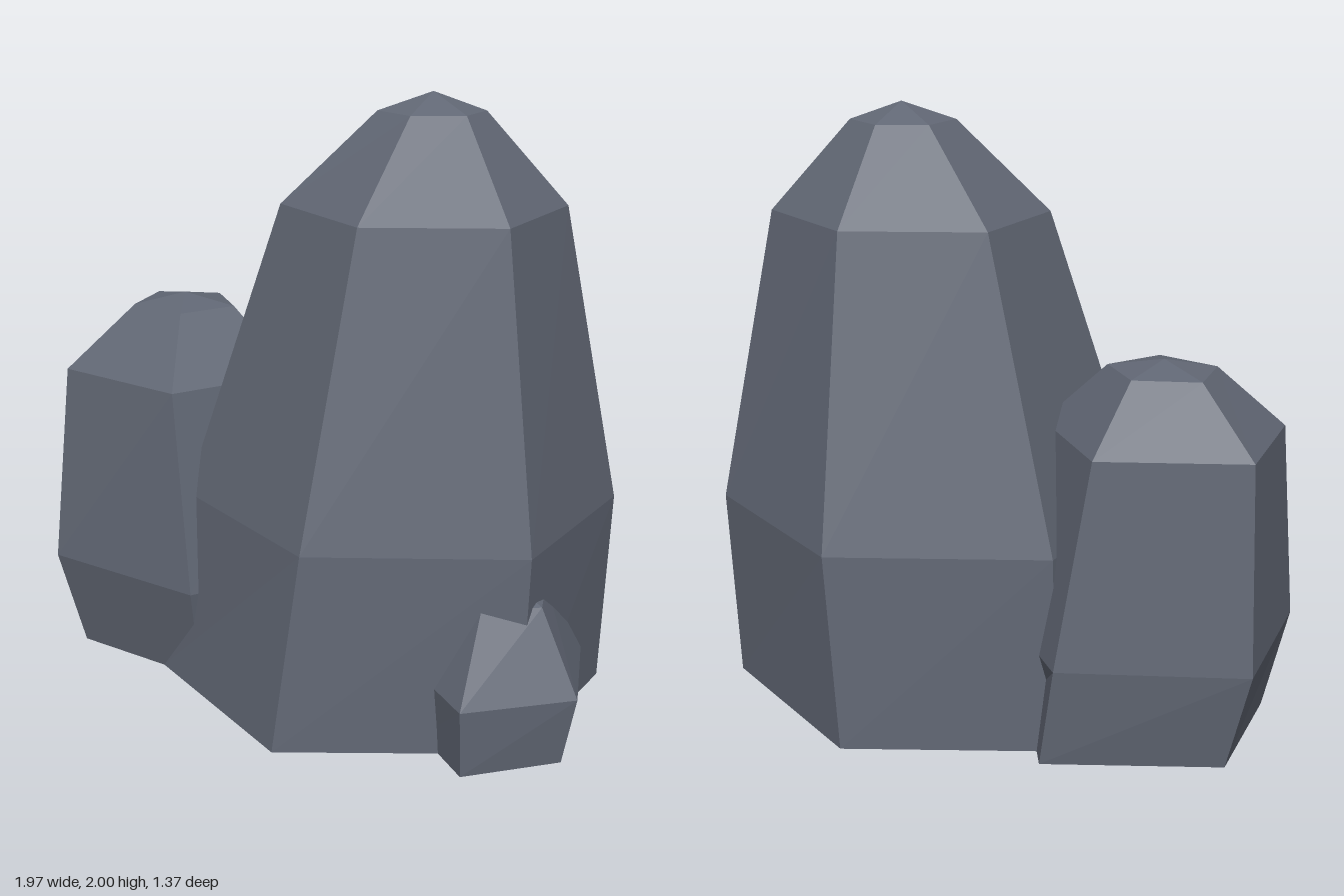
import * as THREE from 'three';

// The rocks are hollow shells with open undersides
const stone = new THREE.MeshStandardMaterial({ color: 0x616774, side: THREE.DoubleSide });
stone.name = 'slate grey';

// Faceted boulder shell: stacked rings (y plus x/z corners, front round to the right), closed by an apex
function boulder(name, rings, apex) {
  const pos = [];
  const tri = (a, b, c) => pos.push(...a, ...b, ...c);
  const loops = rings.map(([y, pts]) => pts.map(([x, z]) => [x, y, z]));
  const n = loops[0].length;
  const top = loops[loops.length - 1];
  for (let i = 0; i < n; i++) {
    const j = (i + 1) % n;
    for (let r = 0; r + 1 < loops.length; r++) {
      const lo = loops[r], hi = loops[r + 1];
      tri(lo[i], lo[j], hi[j]);
      tri(lo[i], hi[j], hi[i]);
    }
    tri(top[i], top[j], apex);
  }
  const geo = new THREE.BufferGeometry();
  geo.setAttribute('position', new THREE.Float32BufferAttribute(pos, 3));
  geo.computeVertexNormals(); // unshared corners give flat facets
  const mesh = new THREE.Mesh(geo, stone);
  mesh.name = name;
  return mesh;
}

export function createModel() {
  const group = new THREE.Group();
  group.name = 'rockCluster';

  // Tall six-sided rock
  group.add(boulder('tallRock', [
    [0, [[0.08, 0.685], [0.80, 0.40], [0.88, -0.265], [0.28, -0.685], [-0.37, -0.44], [-0.53, 0.24]]],
    [0.65, [[0.155, 0.63], [0.82, 0.38], [0.91, -0.28], [0.33, -0.68], [-0.35, -0.43], [-0.43, 0.23]]],
    [1.64, [[0.25, 0.40], [0.68, 0.24], [0.74, -0.19], [0.37, -0.44], [-0.07, -0.28], [-0.12, 0.135]]],
    [1.94, [[0.31, 0.11], [0.47, 0.04], [0.49, -0.10], [0.35, -0.20], [0.19, -0.14], [0.17, 0.03]]],
  ], [0.33, 2, -0.045]));

  // Medium five-sided rock
  group.add(boulder('mediumRock', [
    [0, [[-0.37, 0.28], [-0.14, -0.11], [-0.35, -0.54], [-0.90, -0.34], [-0.89, 0.15]]],
    [0.33, [[-0.365, 0.35], [-0.03, -0.11], [-0.40, -0.555], [-0.985, -0.365], [-0.965, 0.20]]],
    [1.0, [[-0.46, 0.265], [-0.19, -0.11], [-0.485, -0.46], [-0.95, -0.30], [-0.935, 0.13]]],
    [1.215, [[-0.535, 0.045], [-0.415, -0.125], [-0.545, -0.28], [-0.755, -0.22], [-0.745, -0.02]]],
  ], [-0.60, 1.25, -0.12]));

  // Small five-sided rock tucked into the tall one
  group.add(boulder('smallRock', [
    [0, [[0.68, 0.61], [0.94, 0.40], [0.87, 0.05], [0.57, 0.07], [0.47, 0.39]]],
    [0.22, [[0.68, 0.625], [0.985, 0.40], [0.89, 0.01], [0.54, 0.03], [0.43, 0.37]]],
    [0.48, [[0.68, 0.435], [0.845, 0.335], [0.80, 0.13], [0.62, 0.13], [0.57, 0.32]]],
  ], [0.70, 0.54, 0.27]));

  return group;
}
